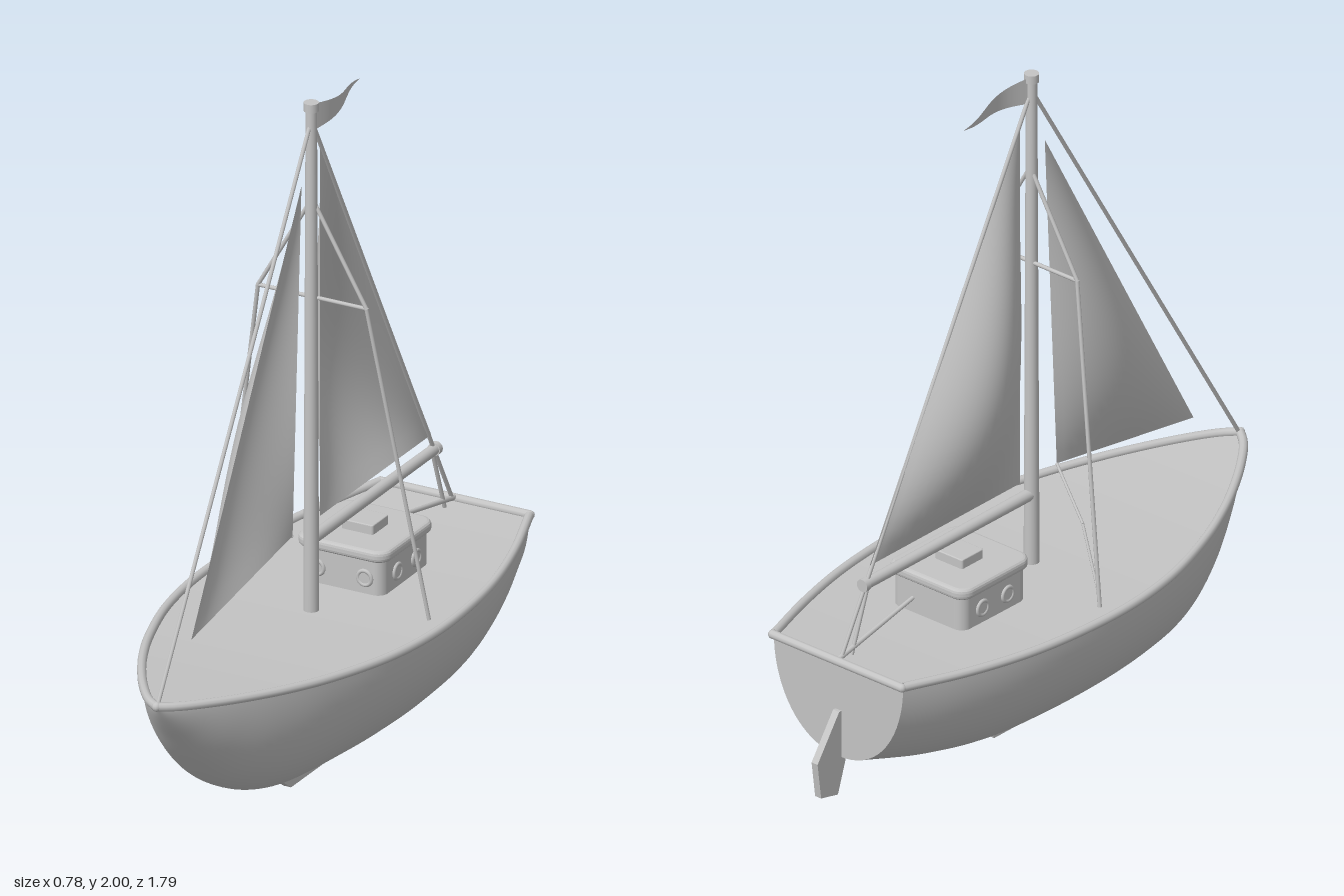
import * as THREE from 'three';

const grey = new THREE.MeshStandardMaterial({ color: 0xc4c4c4, side: THREE.DoubleSide });
grey.name = 'plain grey';
const V = (x, y, z) => new THREE.Vector3(x, y, z);

// Surface from a rule f(u, v); front side is d/du x d/dv
function grid(f, nu, nv) {
  const pos = [], index = [];
  for (let i = 0; i <= nu; i++) {
    for (let j = 0; j <= nv; j++) {
      pos.push(...f(i / nu, j / nv).toArray());
      if (i < nu && j < nv) {
        const a = i * (nv + 1) + j, b = a + nv + 1;
        index.push(a, b, a + 1, b, b + 1, a + 1);
      }
    }
  }
  const g = new THREE.BufferGeometry();
  g.setAttribute('position', new THREE.Float32BufferAttribute(pos, 3));
  g.setIndex(index);
  g.computeVertexNormals();
  return g;
}

export function createModel() {
  const boat = new THREE.Group();
  boat.name = 'sailboat';
  const add = (name, geometry, parent = boat) => {
    const mesh = new THREE.Mesh(geometry, grey);
    mesh.name = name;
    parent.add(mesh);
    return mesh;
  };
  // Round bar between two points
  const rod = (name, a, b, r, rEnd = r, sides = 10) => {
    const m = add(name, new THREE.CylinderGeometry(rEnd, r, a.distanceTo(b), sides));
    m.position.copy(a).add(b).multiplyScalar(0.5);
    m.quaternion.setFromUnitVectors(V(0, 1, 0), b.clone().sub(a).normalize());
    return m;
  };
  const line = (name, pts, r = 0.006) => {
    for (let i = 1; i < pts.length; i++) rod(name, pts[i - 1], pts[i], r, r, 8);
  };
  // Flat plate in the z-y plane, centred on x = 0
  const plate = (name, zy, thick) => {
    const shape = new THREE.Shape(zy.map(([z, y]) => new THREE.Vector2(-z, y)));
    const g = new THREE.ExtrudeGeometry(shape, { depth: thick, bevelEnabled: false });
    g.translate(0, 0, -thick / 2).rotateY(Math.PI / 2);
    return add(name, g);
  };

  // Hull stations: z, half beam, sheer height, keel height
  const stations = [
    [-0.8, 0.235, 0.498, 0.2], [-0.6, 0.302, 0.489, 0.142], [-0.4, 0.35, 0.484, 0.106],
    [-0.2, 0.373, 0.482, 0.1], [0, 0.375, 0.482, 0.1], [0.2, 0.348, 0.485, 0.1],
    [0.4, 0.288, 0.491, 0.104], [0.55, 0.225, 0.499, 0.165], [0.68, 0.155, 0.508, 0.28],
    [0.78, 0.09, 0.516, 0.395], [0.84, 0.042, 0.521, 0.47], [0.875, 0, 0.525, 0.522],
  ];
  const sheer = new THREE.CatmullRomCurve3(stations.map(([z, w, s]) => V(w, s, z)), false, 'catmullrom');
  const keelLine = new THREE.CatmullRomCurve3(stations.map(([z, , , k]) => V(0, k, z)), false, 'catmullrom');
  const hullPoint = (u, v) => {
    const s = sheer.getPoint(u), k = keelLine.getPoint(u), a = v * Math.PI;
    const c = Math.cos(a);
    return V(s.x * Math.sign(c) * Math.abs(c) ** 0.92, s.y - (s.y - k.y) * Math.sin(a), s.z);
  };
  add('hull', grid(hullPoint, 66, 40));
  add('transom', grid((u, v) => V(0, 0.498, -0.8).lerp(hullPoint(0, v), u), 1, 40));
  add('deck', grid((u, v) => {
    const s = sheer.getPoint(u);
    return V(s.x * (2 * v - 1), s.y - 0.004, s.z);
  }, 66, 2));

  // Rail along both sides and across the stern
  const side = sheer.getPoints(44);
  for (const sx of [1, -1]) {
    const path = new THREE.CatmullRomCurve3(side.map((p) => V(p.x * sx, p.y, p.z)));
    add('rail', new THREE.TubeGeometry(path, 80, 0.013, 10));
    const corner = add('railCorner', new THREE.SphereGeometry(0.013, 10, 8));
    corner.position.set(0.235 * sx, 0.498, -0.805);
  }
  add('railBow', new THREE.SphereGeometry(0.014, 10, 8)).position.set(0, 0.525, 0.875);
  rod('sternRail', V(-0.235, 0.498, -0.805), V(0.235, 0.498, -0.805), 0.013);

  // Keel, rudder and tiller
  plate('keel', [[0.3, 0.115], [0.28, 0.1], [0.14, 0], [-0.165, 0], [-0.205, 0.1], [-0.205, 0.115]], 0.024);
  plate('rudder', [[-0.79, 0.345], [-0.81, 0.345], [-0.9, 0.217], [-0.885, 0.106], [-0.815, 0.09], [-0.78, 0.196]], 0.022);
  rod('tiller', V(0, 0.503, -0.8), V(0, 0.567, -0.49), 0.008, 0.006);

  // Cabin made from rounded slabs
  const cabin = new THREE.Group();
  cabin.name = 'cabin';
  cabin.position.z = -0.297;
  boat.add(cabin);
  const slab = (name, hx, hz, r, y0, y1, bevel) => {
    const x = hx - bevel, z = hz - bevel, s = new THREE.Shape();
    s.moveTo(x, z - r);
    s.absarc(x - r, z - r, r, 0, Math.PI / 2);
    s.absarc(r - x, z - r, r, Math.PI / 2, Math.PI);
    s.absarc(r - x, r - z, r, Math.PI, Math.PI * 1.5);
    s.absarc(x - r, r - z, r, Math.PI * 1.5, Math.PI * 2);
    const g = new THREE.ExtrudeGeometry(s, {
      depth: y1 - y0 - 2 * bevel, bevelEnabled: bevel > 0, bevelSize: bevel, bevelThickness: bevel,
      bevelSegments: 3, curveSegments: 8,
    });
    g.rotateX(-Math.PI / 2).translate(0, y0 + bevel, 0);
    add(name, g, cabin);
  };
  slab('cabinWalls', 0.13, 0.135, 0.03, 0.47, 0.585, 0);
  slab('cabinRoof', 0.144, 0.147, 0.03, 0.578, 0.612, 0.012);
  slab('hatch', 0.05, 0.045, 0.004, 0.605, 0.64, 0.003);
  const porthole = (x, z, turn) => {
    const p = new THREE.Group();
    p.name = 'porthole';
    p.position.set(x, 0.525, z);
    p.rotation.y = turn;
    cabin.add(p);
    add('portholeRing', new THREE.TorusGeometry(0.021, 0.006, 8, 24), p);
    const glass = add('portholeGlass', new THREE.CylinderGeometry(0.02, 0.02, 0.006, 24), p);
    glass.rotation.x = Math.PI / 2;
  };
  for (const s of [1, -1]) {
    for (const z of [0.052, -0.053]) porthole(0.131 * s, z, s * Math.PI / 2);
    porthole(0.075 * s, 0.136, 0);
  }

  // Mast, cap and boom
  rod('mast', V(0, 0.47, 0.005), V(0, 1.98, 0.005), 0.022, 0.016, 20);
  rod('mastCap', V(0, 1.975, 0.005), V(0, 2, 0.005), 0.021, 0.021, 20);
  rod('boom', V(0, 0.69, 0), V(0, 0.69, -0.69), 0.018, 0.016, 16);
  rod('boomEnd', V(0, 0.69, -0.685), V(0, 0.69, -0.702), 0.019, 0.019, 16);

  // Triangular sails, bellied to the right
  const sail = (name, head, foot, clew, belly) => add(name, grid((u, v) => {
    const a = 1 - u, b = u * (1 - v), c = u * v;
    const p = V(0, 0, 0).addScaledVector(head, a).addScaledVector(foot, b).addScaledVector(clew, c);
    p.x -= belly * 27 * a * b * c;
    return p;
  }, 28, 20));
  sail('mainsail', V(0, 1.86, -0.043), V(0, 0.74, -0.043), V(0, 0.74, -0.67), 0.105);
  sail('jib', V(0, 1.77, 0.06), V(0, 0.65, 0.68), V(0, 0.74, 0.11), 0.07);

  // Waving pennant
  add('pennant', grid((u, v) => V(
    0.017 * Math.sin(1.6 * Math.PI * u),
    THREE.MathUtils.lerp(1.99 - 0.08 * v, 1.95, u),
    -0.01 - 0.29 * u,
  ), 24, 4));

  // Standing and running rigging
  line('forestay', [V(0, 1.93, 0.015), V(0, 0.53, 0.868)]);
  line('backstay', [V(0, 1.93, -0.005), V(0, 0.5, -0.79)]);
  line('mainsheet', [V(0, 0.69, -0.675), V(0, 0.495, -0.745)]);
  line('spreader', [V(-0.17, 1.415, 0), V(0.17, 1.415, 0)]);
  for (const s of [1, -1]) {
    line('shroud', [V(0, 1.71, 0), V(0.17 * s, 1.415, 0), V(0.322 * s, 0.485, -0.08)]);
  }
  line('jibSheet', [V(0, 0.74, 0.11), V(-0.16, 0.64, 0.035), V(-0.27, 0.485, -0.025)], 0.004);

  return boat;
}
